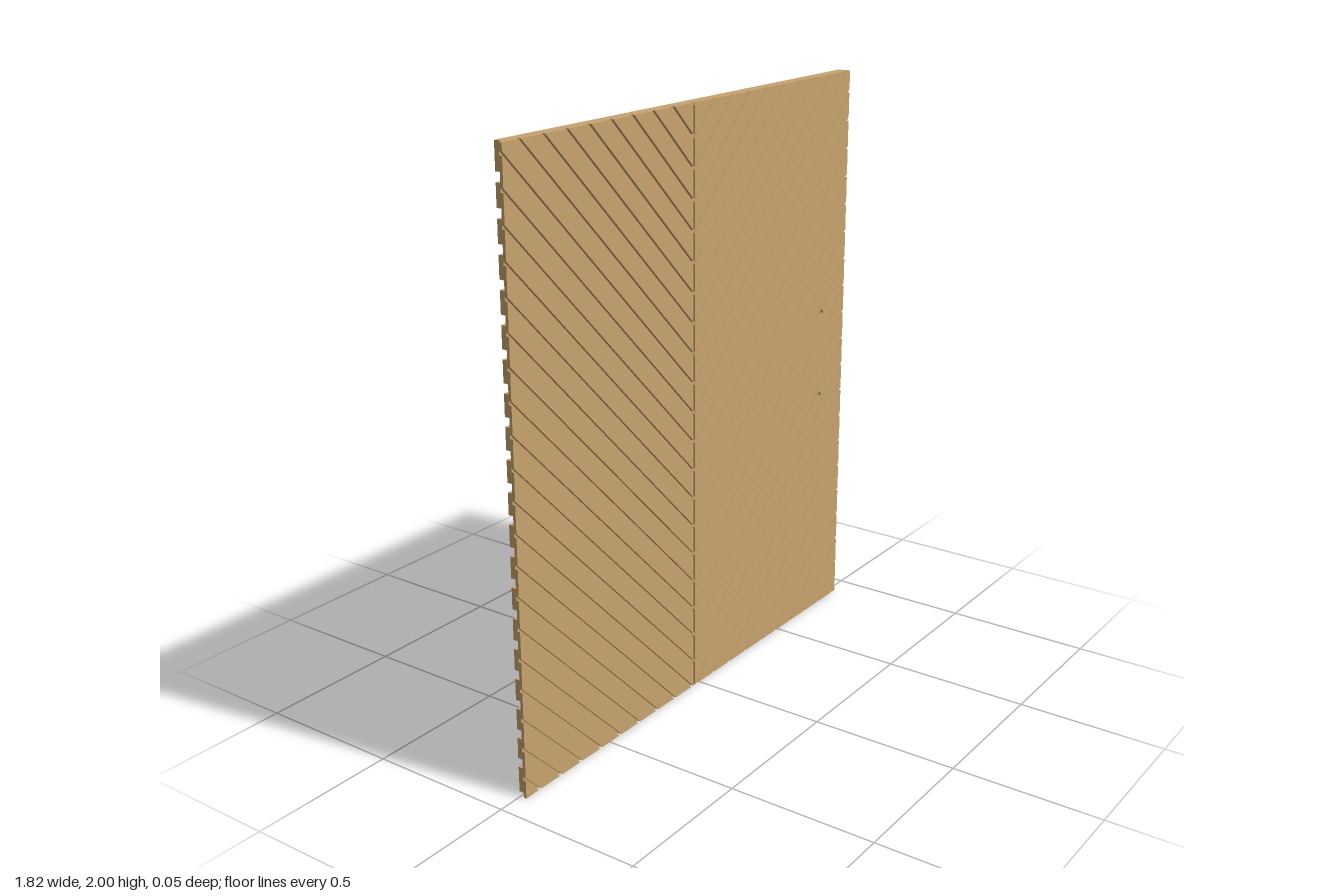
import * as THREE from 'three';

const LEFT = -0.91, RIGHT = 0.91, TOP = 2, SEAM = -0.03;
const BACK = -0.025, CORE = 0, GROOVE = 0.01, FRONT = 0.02;
const PITCH = 0.1003, GAP = 0.009;
const screws = [[0.757, 1.156], [0.757, 0.844]];

const rect = (x0, y0, x1, y1) => [[x0, y0], [x1, y0], [x1, y1], [x0, y1]];
const toVec = (pts) => pts.map(([x, y]) => new THREE.Vector2(x, y));

// Octagon: a rectangle with cut corners
const octagon = (x0, y0, x1, y1, c) => [
  [x0 + c, y0], [x1 - c, y0], [x1, y0 + c], [x1, y1 - c],
  [x1 - c, y1], [x0 + c, y1], [x0, y1 - c], [x0, y0 + c],
];

const circle = ([x, y], r) => Array.from({ length: 20 }, (_, i) => {
  const a = (i / 20) * Math.PI * 2;
  return [x + r * Math.cos(a), y + r * Math.sin(a)];
});

// Flat plate with holes, between two depths
function plate(outline, holes, z0, z1) {
  const shape = new THREE.Shape(toVec(outline));
  for (const h of holes) shape.holes.push(new THREE.Path(toVec(h)));
  const geo = new THREE.ExtrudeGeometry(shape, { depth: z1 - z0, bevelEnabled: false });
  return geo.translate(0, 0, z0);
}

// Keep the part of a polygon where f(point) >= 0
function clip(poly, f) {
  const out = [];
  poly.forEach((p, i) => {
    const q = poly[(i + 1) % poly.length], a = f(p), b = f(q);
    if (a >= 0) out.push(p);
    if ((a >= 0) !== (b >= 0)) {
      const t = a / (a - b);
      out.push([p[0] + (q[0] - p[0]) * t, p[1] + (q[1] - p[1]) * t]);
    }
  });
  return out;
}

export function createModel() {
  const group = new THREE.Group();
  const wood = new THREE.MeshStandardMaterial({ color: 0xc8a46e });
  wood.name = 'tan wood';
  const add = (name, geo) => {
    const mesh = new THREE.Mesh(geo, wood);
    mesh.name = name;
    group.add(mesh);
  };

  // Diagonal front boards on both sides of the seam, parted by grooves
  const halfGap = GAP / 2, diag = halfGap * Math.SQRT2;
  for (const side of [-1, 1]) {
    const half = side < 0 ? rect(LEFT, 0, SEAM - halfGap, TOP) : rect(SEAM + halfGap, 0, RIGHT, TOP);
    const level = ([x, y]) => y - side * (x - SEAM);
    for (let k = -11; k < 21; k++) {
      const lo = 0.99 + (k - 10) * PITCH + diag, hi = lo + PITCH - 2 * diag;
      const board = clip(clip(half, (p) => level(p) - lo), (p) => hi - level(p));
      if (board.length < 3) continue;
      const holes = screws
        .filter((s) => side > 0 && level(s) > lo && level(s) < hi)
        .map((s) => circle(s, 0.0105));
      add('frontBoard', plate(board, holes, GROOVE, FRONT));
    }
  }

  // Core sheet: floor of the grooves in front and of the recess behind
  const backLeft = -0.89;
  add('core', plate(rect(backLeft, 0, RIGHT, TOP), screws.map((s) => circle(s, 0.0105)), CORE, GROOVE));

  // Slanted lip along the hinge edge
  const lip = new THREE.ExtrudeGeometry(
    new THREE.Shape(toVec([[backLeft, 0], [backLeft, -GROOVE], [LEFT, -GROOVE]])),
    { depth: TOP, bevelEnabled: false });
  add('edgeLip', lip.rotateX(-Math.PI / 2));

  // Back frame: notched hinge edge, latch slots, screw seats and recess opening
  const outline = [[backLeft, 0], [RIGHT, 0], [RIGHT, TOP], [backLeft, TOP]];
  for (let i = 0; i < 19; i++) {
    const y = 1.9 - i * 0.1, h = 0.015;
    outline.push([backLeft, y + h], [-0.835, y + h], [-0.835, y + 0.006],
      [-0.82, y + 0.006], [-0.82, y - h], [backLeft, y - h]);
  }
  const opening = octagon(-0.76, 0.02, 0.7, 1.98, 0.065);
  const holes = [opening, ...screws.map((s) => circle(s, 0.021))];
  for (let i = 0; i < 10; i++) {
    const y = 0.1 + i * 0.2;
    holes.push(rect(0.81, y - 0.02, 0.836, y + 0.02));
    holes.push(rect(0.819, y - 0.037, 0.827, y - 0.031));
  }
  for (let i = 0; i < 5; i++) {
    const y = 0.2 + i * 0.4;
    holes.push(rect(0.796, y + 0.012, 0.812, y + 0.028));
    holes.push(rect(0.8, y - 0.025, 0.808, y + 0.004));
  }
  add('backFrame', plate(outline, holes, BACK, CORE));

  // Sloping walls of the recess
  const inner = octagon(-0.73, 0.05, 0.67, 1.95, 0.05);
  const pos = [];
  opening.forEach((a, i) => {
    const j = (i + 1) % 8, b = opening[j], c = inner[j], d = inner[i];
    const A = [...a, BACK], B = [...b, BACK], C = [...c, CORE], D = [...d, CORE];
    pos.push(...A, ...C, ...B, ...A, ...D, ...C);
  });
  const walls = new THREE.BufferGeometry();
  walls.setAttribute('position', new THREE.Float32BufferAttribute(pos, 3));
  walls.computeVertexNormals();
  add('recessWalls', walls);

  // Centre on depth
  group.children.forEach((m) => m.geometry.translate(0, 0, 0.0025));
  return group;
}
